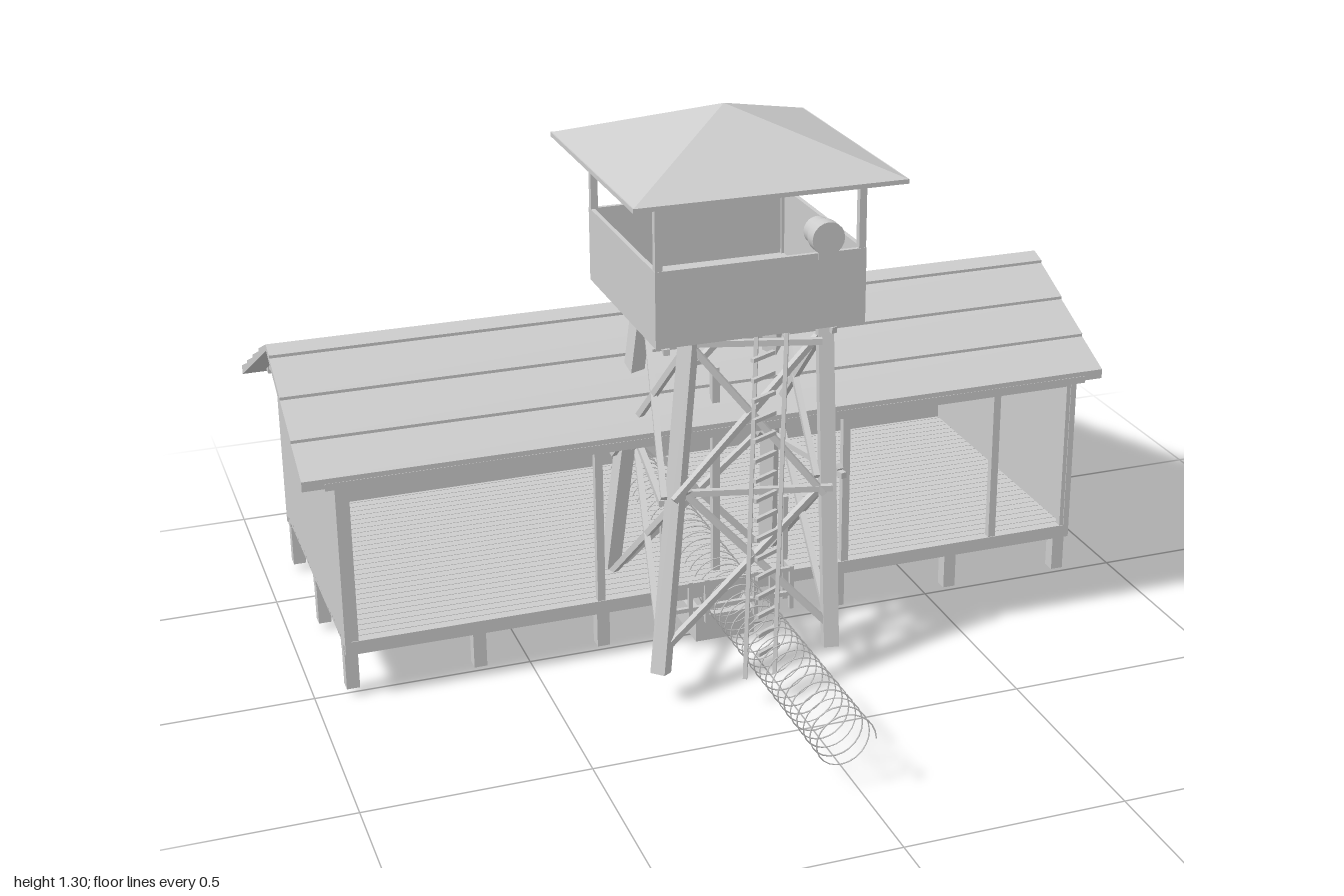
import * as THREE from 'three';

const grey = new THREE.MeshStandardMaterial({ color: 0xcccccc, side: THREE.DoubleSide });
grey.name = 'plain grey';

function add(parent, name, geometry) {
  const mesh = new THREE.Mesh(geometry, grey);
  mesh.name = name;
  parent.add(mesh);
  return mesh;
}

// Box given by its low and high limits on each axis
function box(parent, name, [x0, x1], [y0, y1], [z0, z1]) {
  const m = add(parent, name, new THREE.BoxGeometry(x1 - x0, y1 - y0, z1 - z0));
  m.position.set((x0 + x1) / 2, (y0 + y1) / 2, (z0 + z1) / 2);
  return m;
}

// Square timber between two points
function beam(parent, name, a, b, w, d = w) {
  const p = new THREE.Vector3(...a), q = new THREE.Vector3(...b);
  const m = add(parent, name, new THREE.BoxGeometry(w, d, p.distanceTo(q)));
  m.position.copy(p).add(q).multiplyScalar(0.5);
  m.lookAt(q);
  return m;
}

// Cross-section of [z, y] points pulled along x
function prism(parent, name, points, x0, x1) {
  const shape = new THREE.Shape(points.map(([z, y]) => new THREE.Vector2(-z, y)));
  const g = new THREE.ExtrudeGeometry(shape, { depth: x1 - x0, bevelEnabled: false });
  g.rotateY(Math.PI / 2).translate(x0, 0, 0);
  return add(parent, name, g);
}

const CX = -0.035;          // middle of hut and tower
const RIDGE = -0.337;       // z of the hut ridge

function createHut() {
  const hut = new THREE.Group();
  hut.name = 'hut';
  const X0 = -0.93, X1 = 0.863, ZF = 0.04, ZB = -0.71;

  // Stilts and the long bearers on them
  for (const z of [0.0, -0.335, -0.67]) {
    for (let i = 0; i < 7; i++) {
      const x = -0.914 + i * 0.294;
      box(hut, 'stilt', [x - 0.015, x + 0.015], [0.018, 0.12], [z - 0.016, z + 0.016]);
    }
    box(hut, 'floorBearer', [X0, X1], [0.115, 0.135], [z - 0.015, z + 0.015]);
  }
  box(hut, 'frontSill', [X0, X1], [0.115, 0.147], [ZF - 0.012, ZF]);
  box(hut, 'backSill', [X0, X1], [0.115, 0.147], [ZB, ZB + 0.012]);
  const boards = 30, pitch = (ZF - ZB) / boards;
  for (let i = 0; i < boards; i++) {
    const z = ZB + i * pitch;
    box(hut, 'floorBoard', [X0, X1], [0.133, 0.147], [z, z + pitch - 0.002]);
  }

  // Gable ends, back wall and open front
  const gable = [[ZF, 0.145], [ZF, 0.525], [RIDGE, 0.712], [ZB, 0.525], [ZB, 0.145]];
  prism(hut, 'leftGable', gable, X1 - 0.014, X1);
  prism(hut, 'rightGable', gable, X0, X0 + 0.014);
  box(hut, 'backWall', [X0, X1], [0.145, 0.525], [ZB, ZB + 0.014]);
  box(hut, 'frontHeader', [X0, X1], [0.515, 0.535], [ZF - 0.02, ZF - 0.002]);
  for (const x of [-0.908, -0.335, 0.268, 0.655, 0.848])
    box(hut, 'frontPost', [x - 0.009, x + 0.009], [0.145, 0.52], [ZF - 0.02, ZF - 0.002]);

  // Windows in the back wall
  for (const x of [-0.483, 0.487]) {
    const w = 0.093, y0 = 0.308, y1 = 0.455, zo = ZB - 0.008;
    box(hut, 'windowPane', [x - w, x + w], [y0, y1], [ZB - 0.002, ZB]);
    box(hut, 'windowPaneInside', [x - w, x + w], [y0, y1], [ZB + 0.014, ZB + 0.016]);
    for (const dx of [-w, -0.004, w - 0.008])
      box(hut, 'windowUpright', [x + dx, x + dx + 0.008], [y0, y1], [zo, ZB]);
    for (const y of [y0, (y0 + y1) / 2 - 0.004, y1 - 0.008])
      box(hut, 'windowRail', [x - w, x + w], [y, y + 0.008], [zo, ZB]);
  }

  // Lapped roof boards; d is the distance from the ridge
  const top = d => 0.73 - d * 0.5;
  const slopes = [[1, [0, 0.04, 0.155, 0.27, 0.377]], [-1, [0, 0.12, 0.237, 0.342, 0.443]]];
  for (const [s, stops] of slopes) {
    for (let i = 0; i < 4; i++) {
      const a = stops[i], b = stops[i + 1];
      prism(hut, 'roofBoard', [
        [RIDGE + s * a, top(a)], [RIDGE + s * b, top(b) + 0.007],
        [RIDGE + s * b, top(b) - 0.016], [RIDGE + s * a, top(a) - 0.016],
      ], -1, 0.93);
    }
    // Purlin ends give the toothed edge on the gables
    for (let d = 0.03; d < 0.37; d += 0.042)
      box(hut, 'purlin', [-0.95, 0.885], [top(d) - 0.027, top(d) - 0.01],
        [RIDGE + s * d - 0.012, RIDGE + s * d + 0.012]);
  }

  // Rafter tails under both eaves
  for (let x = -0.9; x < 0.86; x += 0.075) {
    beam(hut, 'backRafterTail', [x, 0.53, ZB + 0.02], [x, 0.501, ZB - 0.04], 0.016, 0.02);
    box(hut, 'frontRafterEnd', [x - 0.006, x + 0.006], [0.522, 0.534], [ZF - 0.03, ZF]);
  }

  // Two steps at the left end
  box(hut, 'upperStep', [0.865, 0.935], [0.02, 0.125], [-0.655, -0.475]);
  box(hut, 'lowerStep', [0.935, 1.0], [0.02, 0.095], [-0.655, -0.475]);
  return hut;
}

function createTower() {
  const tower = new THREE.Group();
  tower.name = 'watchTower';
  tower.position.set(CX, 0, 0.037);

  // Leaning legs: offset from the tower axis at height y
  const off = y => 0.204 - (y - 0.065) * 0.06;
  const at = (sx, sz, y) => [sx * off(y), y, sz * off(y)];
  const corners = [[-1, -1], [1, -1], [1, 1], [-1, 1]];
  corners.forEach(([sx, sz], i) => {
    beam(tower, 'towerLeg', at(sx, sz, 0.065), at(sx, sz, 0.85), 0.035);
    const [tx, tz] = corners[(i + 1) % 4];
    for (const y of [0.455, 0.8])
      beam(tower, 'crossRail', at(sx, sz, y), at(tx, tz, y), 0.014);
    for (const [lo, hi] of [[0.12, 0.455], [0.455, 0.8]]) {
      beam(tower, 'diagonalBrace', at(sx, sz, lo), at(tx, tz, hi), 0.014);
      beam(tower, 'diagonalBrace', at(tx, tz, lo), at(sx, sz, hi), 0.014);
    }
  });

  // Open cabin with corner posts
  const H = 0.239, T = 0.01;
  box(tower, 'cabinFloor', [-H, H], [0.843, 0.857], [-H, H]);
  for (const s of [-1, 1]) {
    const lo = Math.min(s * H, s * (H - T)), hi = Math.max(s * H, s * (H - T));
    box(tower, 'cabinSide', [lo, hi], [0.845, 1.015], [-H, H]);
    box(tower, 'cabinParapet', [-H, H], [0.845, 1.015], [lo, hi]);
  }
  for (const [sx, sz] of corners) {
    const x = sx * (H - 0.009), z = sz * (H - 0.009);
    box(tower, 'cabinPost', [x - 0.008, x + 0.008], [0.85, 1.18], [z - 0.008, z + 0.008]);
  }

  // Pyramid roof
  box(tower, 'roofEdge', [-0.305, 0.305], [1.17, 1.18], [-0.305, 0.305]);
  const cone = new THREE.ConeGeometry(0.305 * Math.SQRT2, 0.117, 4, 1, true).toNonIndexed();
  cone.rotateY(Math.PI / 4);
  cone.computeVertexNormals();
  add(tower, 'towerRoof', cone).position.y = 1.2375;

  // Searchlight on the front parapet
  const lamp = new THREE.Group();
  lamp.name = 'searchlight';
  lamp.position.set(0.133, 1.06, 0.25);
  tower.add(lamp);
  for (const [name, r, z, len] of [['lampRim', 0.037, 0.018, 0.03], ['lampBody', 0.031, -0.015, 0.04]]) {
    const g = new THREE.CylinderGeometry(r, r, len, 20).rotateX(Math.PI / 2);
    add(lamp, name, g).position.z = z;
  }
  box(lamp, 'lampStand', [-0.005, 0.005], [-0.06, -0.02], [-0.02, -0.01]);

  // Ladder up the front
  const foot = [0.065, 0.29], head = [0.845, 0.243];
  for (const x of [-0.035, 0.035])
    beam(tower, 'ladderRail', [x, ...foot], [x, ...head], 0.009);
  for (let i = 1; i < 17; i++) {
    const t = i / 17, y = foot[0] + t * (head[0] - foot[0]), z = foot[1] + t * (head[1] - foot[1]);
    beam(tower, 'ladderRung', [-0.035, y, z], [0.035, y, z], 0.009);
  }
  return tower;
}

// Long wire coil lying along z
function createCoil() {
  class Coil extends THREE.Curve {
    getPoint(t, target = new THREE.Vector3()) {
      const a = t * 40 * Math.PI * 2;
      return target.set(CX + 0.063 * Math.cos(a), 0.127 + 0.063 * Math.sin(a), 0.788 - 1.478 * t);
    }
  }
  const mesh = new THREE.Mesh(new THREE.TubeGeometry(new Coil(), 960, 0.0016, 4), grey);
  mesh.name = 'wireCoil';
  return mesh;
}

// Pole on a plinth, with a low rail frame around it
function createPoleStand() {
  const stand = new THREE.Group();
  stand.name = 'poleStand';
  box(stand, 'plinth', [CX - 0.073, CX + 0.073], [0, 0.065], [-0.108, 0.04]);
  box(stand, 'plinthTop', [CX - 0.05, CX + 0.05], [0.065, 0.12], [-0.08, 0.015]);
  box(stand, 'pole', [CX - 0.009, CX + 0.009], [0.12, 0.66], [-0.037, -0.019]);
  for (const s of [-1, 1]) {
    const x = CX + s * 0.15;
    box(stand, 'tallPost', [x - 0.006, x + 0.006], [0.075, 0.34], [0.03, 0.042]);
    for (const dx of [0.06, 0.1, 0.15])
      box(stand, 'shortPost', [CX + s * dx - 0.005, CX + s * dx + 0.005], [0.07, 0.18], [0.075, 0.085]);
    box(stand, 'sideRail', [x - 0.005, x + 0.005], [0.165, 0.178], [0.03, 0.085]);
  }
  for (const y of [0.105, 0.168])
    box(stand, 'frontRail', [CX - 0.155, CX + 0.155], [y, y + 0.01], [0.075, 0.085]);
  return stand;
}

export function createModel() {
  const model = new THREE.Group();
  model.name = 'hutWithWatchTower';
  model.add(createHut(), createTower(), createCoil(), createPoleStand());
  return model;
}
